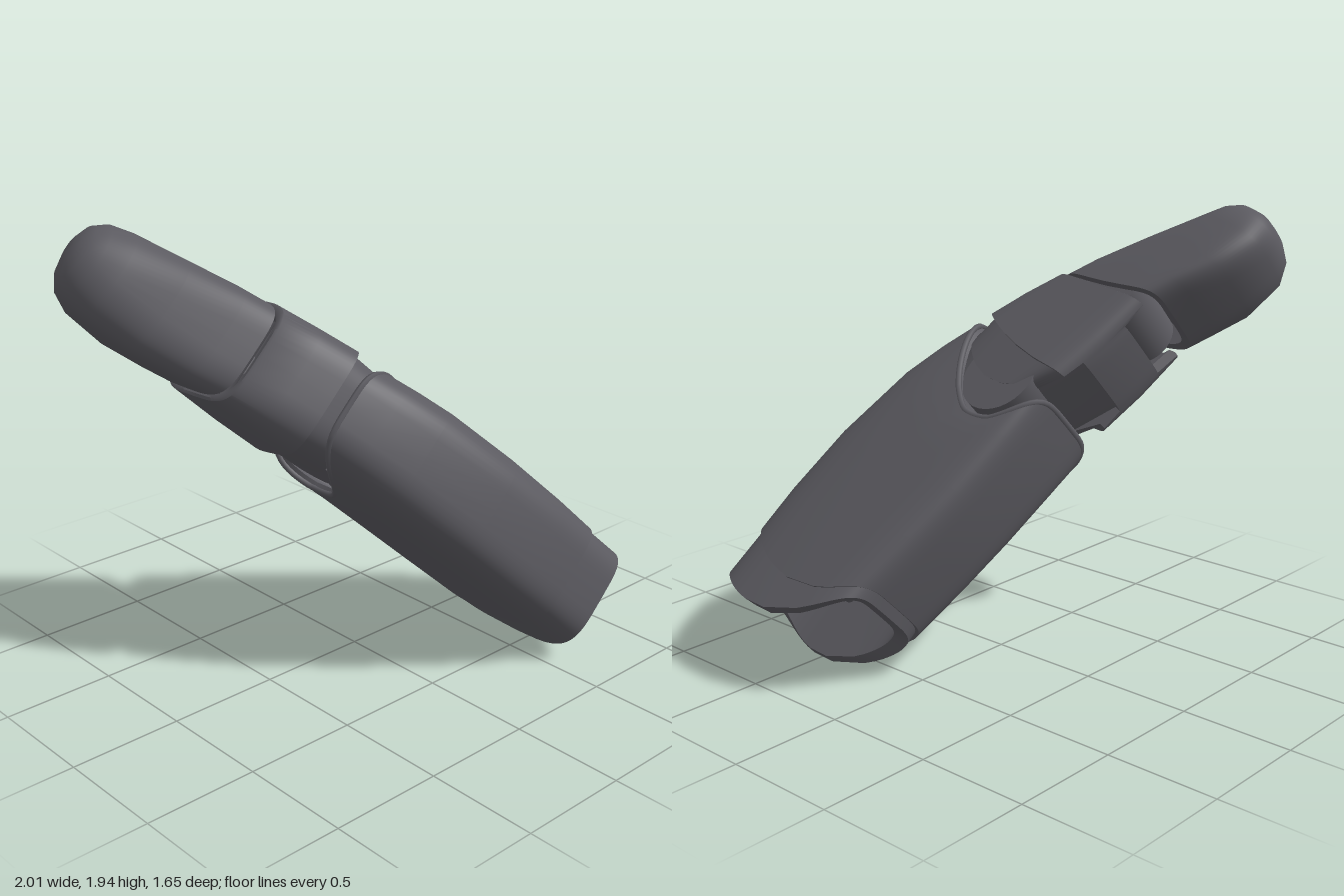
import * as THREE from 'three';
import { toCreasedNormals } from 'three/addons/utils/BufferGeometryUtils.js';

const SIDES = 64;

// Working frame: x runs from fingertip to base, y across the width, z palm to back.
// A station is a cross-section from its back point (ds, dz) to its palm point (ps, pz),
// with width centre c, half width h, side bow, squareness n and a palm notch.
const st = (ds, dz, ps, pz, c, h, bow = 0, n = 4, notch = 0) => ({ ds, dz, ps, pz, c, h, bow, n, notch });

// Shrinks a station by d and moves it by (ms, mz).
function inset(a, d, ms = 0, mz = 0) {
  const len = Math.hypot(a.ds - a.ps, a.dz - a.pz);
  const us = (a.ds - a.ps) / len * d, uz = (a.dz - a.pz) / len * d;
  return { ...a, ds: a.ds - us + ms, dz: a.dz - uz + mz, ps: a.ps + us + ms, pz: a.pz + uz + mz, h: a.h - d };
}

// Collapses a station to its centre to close a loft.
function cap(a) {
  const s = (a.ds + a.ps) / 2 + a.bow * 0.5, z = (a.dz + a.pz) / 2;
  return { ...a, ds: s, ps: s, dz: z, pz: z, h: 0, bow: 0, notch: 0 };
}

function ring(a) {
  const pts = [];
  for (let j = 0; j < SIDES; j++) {
    const t = j / SIDES * Math.PI * 2, co = Math.cos(t), si = Math.sin(t);
    const e = 2 / (si < 0 ? a.n * 1.35 : a.n); // palm side is squarer
    const u = Math.sign(co) * Math.abs(co) ** e, v = Math.sign(si) * Math.abs(si) ** e;
    const k = (v + 1) / 2;
    const cut = v < -0.5 && Math.abs(u) < 0.72 ? a.notch : 0;
    pts.push(new THREE.Vector3(
      a.ps + (a.ds - a.ps) * k + a.bow * (1 - v * v) + cut,
      a.c + a.h * u,
      a.pz + (a.dz - a.pz) * k + cut * 0.4));
  }
  return pts;
}

function loft(stations) {
  const pos = [], idx = [];
  stations.forEach(a => ring(a).forEach(p => pos.push(p.x, p.y, p.z)));
  for (let i = 0; i < stations.length - 1; i++) {
    for (let j = 0; j < SIDES; j++) {
      const a = i * SIDES + j, b = i * SIDES + (j + 1) % SIDES;
      idx.push(a, b, a + SIDES, b, b + SIDES, a + SIDES);
    }
  }
  const g = new THREE.BufferGeometry();
  g.setAttribute('position', new THREE.Float32BufferAttribute(pos, 3));
  g.setIndex(idx);
  return toCreasedNormals(g, 0.7);
}

export function createModel() {
  const model = new THREE.Group();
  model.name = 'mechanicalFinger';
  const finger = new THREE.Group();
  finger.name = 'finger';
  finger.rotation.z = -Math.PI / 4;
  model.add(finger);

  const grey = new THREE.MeshStandardMaterial({ color: 0x5b5a60 });
  grey.name = 'darkGrey';

  const add = (name, geometry) => {
    const m = new THREE.Mesh(geometry, grey);
    m.name = name;
    finger.add(m);
    return m;
  };
  const pin = (name, s, z, r, length, c) =>
    add(name, new THREE.CylinderGeometry(r, r, length, 32)).position.set(s, c, z);

  // Fingertip: rounded cap, hollow at its base
  const tipBase = st(-1.44, 0.005, -1.4, -0.54, 0.675, 0.23, 0.02);
  const tipEnd = st(-1.99, -0.61, -1.96, -0.73, 0.665, 0.06, 0, 2);
  const tipHollow = inset(tipBase, 0.04, -0.1, -0.08);
  add('fingertip', loft([
    cap(tipEnd), tipEnd,
    st(-1.98, -0.56, -1.91, -0.79, 0.66, 0.13, 0, 2),
    st(-1.945, -0.505, -1.85, -0.825, 0.655, 0.178, 0, 2.1),
    st(-1.87, -0.435, -1.76, -0.825, 0.65, 0.209, 0, 2.4),
    st(-1.71, -0.265, -1.6, -0.73, 0.65, 0.228, 0, 3.2),
    st(-1.54, -0.09, -1.48, -0.61, 0.665, 0.232, 0.01, 3.9),
    tipBase, inset(tipBase, 0.035), tipHollow, cap(tipHollow),
  ]));

  // Middle segment: shell slotted on the palm at both joints, with a stepped neck
  const midFar = st(-1.425, 0.035, -1.34, -0.5, 0.675, 0.242, 0.01, 4, 0.11);
  const midNear = st(-1.18, 0.255, -0.92, -0.34, 0.688, 0.26, 0.05, 4, -0.09);
  const midHollow = inset(midFar, 0.045, 0.12, 0.09);
  const neckEnd = st(-1.05, 0.285, -0.86, -0.2, 0.69, 0.228, 0.12);
  add('middleSegment', loft([
    cap(midHollow), midHollow, inset(midFar, 0.035), inset(midFar, 0.012, -0.006), midFar,
    st(-1.31, 0.15, -1.12, -0.425, 0.68, 0.253, 0.03),
    midNear, inset(midNear, 0.022), neckEnd, cap(neckEnd),
  ]));

  // Base segment: long shell with a deep side cut at the knuckle
  const baseFar = st(-1.135, 0.31, -0.8, -0.305, 0.695, 0.262, 0.33);
  const baseNear = st(0.075, 0.795, 0.2, 0, 0.7, 0.267, 0.16);
  const baseHollow = inset(baseFar, 0.05, 0.22, 0.08);
  add('baseSegment', loft([
    cap(baseHollow), baseHollow, inset(baseFar, 0.035), baseFar,
    st(-1, 0.41, -0.72, -0.29, 0.697, 0.267, 0.27),
    st(-0.82, 0.52, -0.6, -0.265, 0.7, 0.269, 0.19),
    st(-0.45, 0.672, -0.3, -0.185, 0.7, 0.269, 0.08),
    st(-0.12, 0.758, -0.05, -0.1, 0.7, 0.269, 0.07),
    baseNear, inset(baseNear, 0.04),
  ]));

  // Rolled lip around the knuckle opening
  const lip = new THREE.CatmullRomCurve3(ring(inset(baseFar, 0.008)), true);
  add('knuckleLip', new THREE.TubeGeometry(lip, 96, 0.014, 6, true));

  // Collar: open sleeve at the root
  const collarStart = inset(baseNear, 0.012, -0.02, 0);
  const collarEnd = st(0.315, 0.828, 0.245, 0.025, 0.7, 0.261, 0.17);
  const collarHollow = inset(collarStart, 0.06, -0.12, -0.03);
  add('collar', loft([
    collarStart, collarEnd, inset(collarEnd, 0.055), collarHollow, cap(collarHollow),
  ]));

  // Joint pins
  pin('knuckle', -0.86, -0.02, 0.18, 0.44, 0.692);
  pin('fingertipJoint', -1.4, -0.26, 0.15, 0.38, 0.675);
  pin('rootPin', 0.16, 0.47, 0.035, 0.46, 0.7);

  return model;
}
